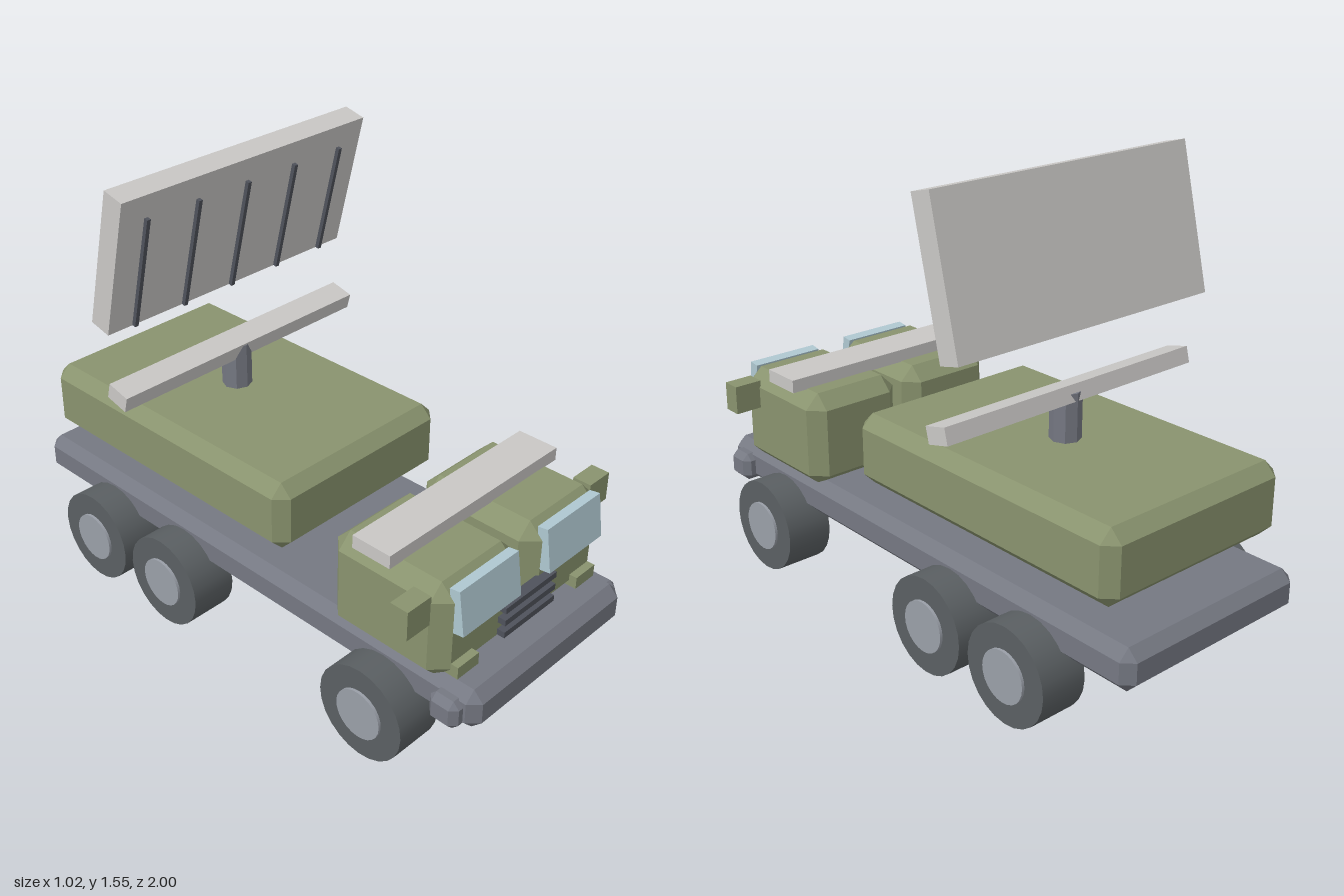
import * as THREE from 'three';
import { ConvexGeometry } from 'three/addons/geometries/ConvexGeometry.js';

const material = (name, color) => {
  const m = new THREE.MeshStandardMaterial({ color });
  m.name = name;
  return m;
};

// Box with flat chamfers on every edge and corner, given by its ranges
function chamferBox([x0, x1], [y0, y1], [z0, z1], c) {
  const h = [(x1 - x0) / 2, (y1 - y0) / 2, (z1 - z0) / 2];
  const points = [];
  for (const sx of [-1, 1]) for (const sy of [-1, 1]) for (const sz of [-1, 1]) {
    for (let axis = 0; axis < 3; axis++) {
      const p = h.map((v, i) => (i === axis ? v : v - c));
      points.push(new THREE.Vector3(p[0] * sx, p[1] * sy, p[2] * sz));
    }
  }
  return new ConvexGeometry(points).translate((x0 + x1) / 2, (y0 + y1) / 2, (z0 + z1) / 2);
}

export function createModel() {
  const olive = material('olive body', 0x89936e);
  const slate = material('slate chassis', 0x757882);
  const rubber = material('tyre rubber', 0x5a5f62);
  const steel = material('hub steel', 0x9a9fa8);
  const pale = material('pale panel', 0xc9c7c5);
  const glass = material('window glass', 0xafc8d1);
  const dark = material('dark trim', 0x4f525b);

  const model = new THREE.Group();
  model.name = 'radarTruck';
  const add = (name, geometry, mat, parent = model) => {
    const mesh = new THREE.Mesh(geometry, mat);
    mesh.name = name;
    parent.add(mesh);
    return mesh;
  };
  const box = (name, size, pos, mat, parent) => {
    const mesh = add(name, new THREE.BoxGeometry(...size), mat, parent);
    mesh.position.set(...pos);
    return mesh;
  };

  // Chassis, bumper and cargo body
  add('chassis', chamferBox([-0.37, 0.37], [0.23, 0.37], [-1, 1], 0.035), slate);
  add('bumper', chamferBox([-0.41, 0.41], [0.24, 0.34], [0.85, 0.957], 0.022), slate);
  add('cargoBody', chamferBox([-0.37, 0.37], [0.455, 0.7], [-0.92, 0.224], 0.042), olive);

  // Twin cabs with window, mirror and lamp housing on each side
  for (const s of [-1, 1]) {
    const side = s > 0 ? 'left' : 'right';
    const xs = [0.02 * s, 0.385 * s].sort((a, b) => a - b);
    add(side + 'Cab', chamferBox(xs, [0.34, 0.68], [0.43, 0.877], 0.05), olive);
    const windshield = box(side + 'Windshield', [0.265, 0.15, 0.037], [0.2025 * s, 0.602, 0.885], glass);
    windshield.rotation.x = -0.15;
    box(side + 'Mirror', [0.1, 0.1, 0.065], [0.43 * s, 0.605, 0.797], olive);
    box(side + 'LampHousing', [0.095, 0.08, 0.05], [0.288 * s, 0.372, 0.879], olive);
  }

  // Grille slats
  for (let i = 0; i < 3; i++) {
    box('grilleSlat', [0.245, 0.021, 0.035], [0, 0.493 - i * 0.045, 0.887], dark);
  }

  // Roof bar
  box('roofBar', [0.785, 0.045, 0.144], [0, 0.7, 0.612], pale);

  // Six wheels, each a tyre with a hub standing just proud of it
  const tyre = new THREE.CylinderGeometry(0.163, 0.163, 0.165, 24).rotateZ(Math.PI / 2);
  const hub = new THREE.CylinderGeometry(0.086, 0.086, 0.18, 24).rotateZ(Math.PI / 2);
  for (const z of [0.652, -0.247, -0.612]) for (const s of [-1, 1]) {
    const wheel = new THREE.Group();
    wheel.name = 'wheel';
    wheel.position.set(0.388 * s, 0.165, z);
    add('tyre', tyre, rubber, wheel);
    add('hub', hub, steel, wheel).position.x = 0.002 * s;
    model.add(wheel);
  }

  // Octagonal mast and tilted cross bar
  const mast = add('mast', new THREE.CylinderGeometry(0.051, 0.051, 0.18, 8).toNonIndexed(), slate);
  mast.geometry.computeVertexNormals();
  mast.position.set(0, 0.77, -0.366);
  box('crossBar', [1.02, 0.055, 0.086], [0, 0.85, -0.366], pale).rotation.x = 0.25;

  // Tilted antenna panel with ribs on its front
  const antenna = new THREE.Group();
  antenna.name = 'antenna';
  antenna.position.set(0, 1.31, -0.367);
  antenna.rotation.x = 0.242;
  box('antennaPanel', [1.02, 0.484, 0.08], [0, 0, 0], pale, antenna);
  for (let i = -2; i <= 2; i++) {
    box('antennaRib', [0.014, 0.4, 0.024], [i * 0.204, -0.04, 0.042], dark, antenna);
  }
  model.add(antenna);

  return model;
}
